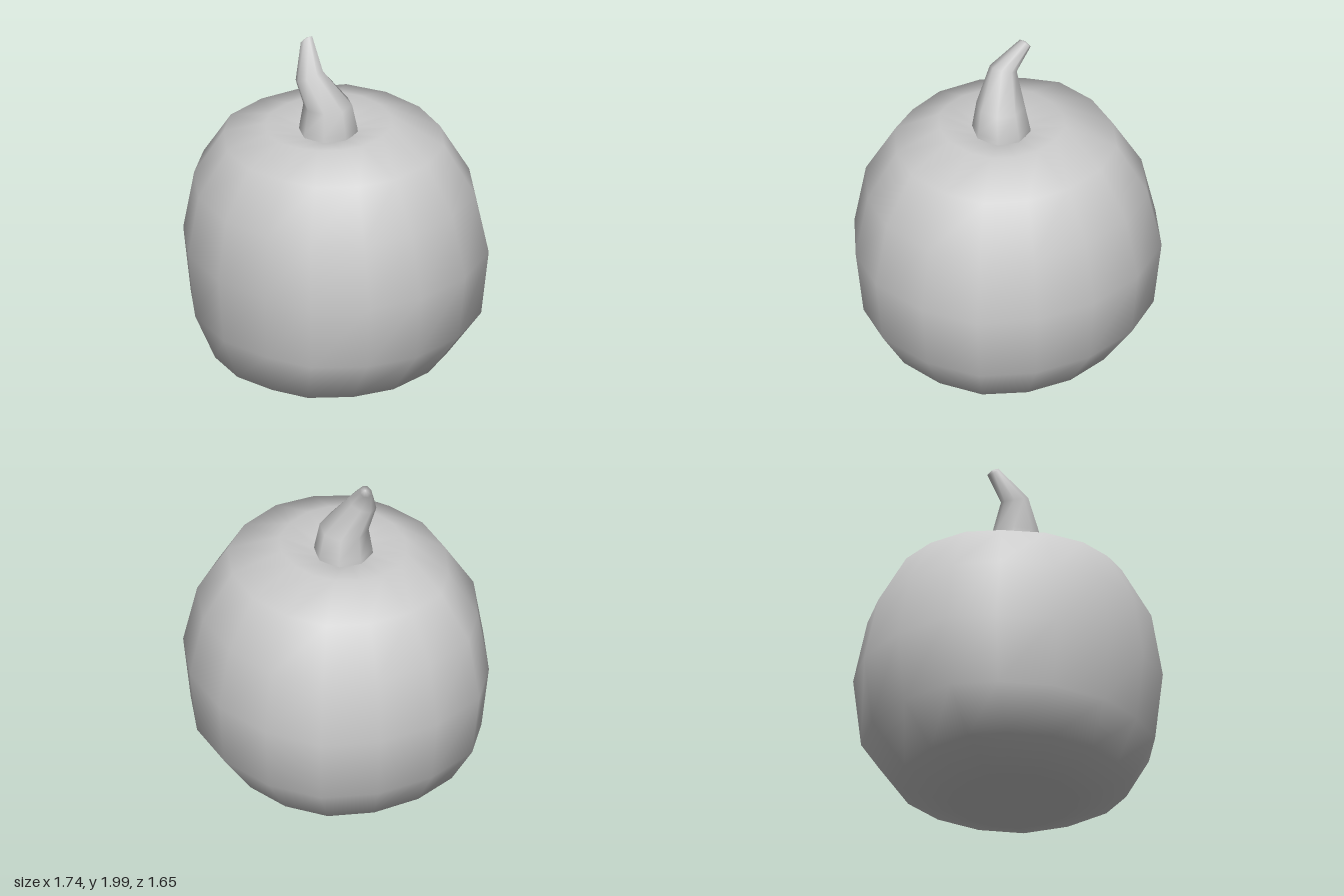
import * as THREE from 'three';

const material = new THREE.MeshStandardMaterial({ color: 0xcccccc });

// Smooth skin over closed rings of points, listed from bottom to top
function loft(name, rings) {
  const n = rings[0].length;
  const index = [];
  for (let r = 0; r < rings.length - 1; r++) {
    for (let i = 0; i < n; i++) {
      const a = r * n + i, b = r * n + (i + 1) % n;
      index.push(a, a + n, b, b, a + n, b + n);
    }
  }
  const geometry = new THREE.BufferGeometry();
  geometry.setAttribute('position', new THREE.Float32BufferAttribute(rings.flat(2), 3));
  geometry.setIndex(index);
  geometry.computeVertexNormals();
  const mesh = new THREE.Mesh(geometry, material);
  mesh.name = name;
  return mesh;
}

function createBody() {
  // Slightly uneven 16-sided girth as x, z, from the back round by the left
  const girth = [
    [0, -0.83], [0.35, -0.77], [0.64, -0.6], [0.81, -0.31],
    [0.87, 0.04], [0.79, 0.34], [0.6, 0.61], [0.34, 0.74],
    [0.02, 0.82], [-0.33, 0.77], [-0.62, 0.59], [-0.81, 0.38],
    [-0.87, 0.04], [-0.81, -0.31], [-0.64, -0.6], [-0.35, -0.77],
  ];
  // y, x scale, z scale, z offset, dip of the front right rim
  const levels = [
    [0.02, 0, 0, 0.04, 0],
    [0.005, 0.4, 0.43, 0.04, 0],
    [0.12, 0.75, 0.785, 0.04, 0],
    [0.38, 0.945, 0.955, 0, 0],
    [0.77, 1, 1, 0, 0],
    [1.13, 0.91, 0.925, 0.01, 0],
    [1.42, 0.72, 0.725, 0.01, 0.02],
    [1.525, 0.405, 0.425, 0.04, 0.035],
    [1.47, 0.17, 0.18, 0.04, 0],
    [1.45, 0, 0, 0.04, 0],
  ];
  return loft('body', levels.map(([y, sx, sz, dz, dip]) =>
    girth.map(([x, z]) => {
      const lean = Math.max(0, (z - x) / 1.2);
      return [x * sx, y - dip * Math.min(1, lean), z * sz + dz];
    })));
}

function createStem() {
  // centre x, y, z, radius in x, radius in z, rise per x, rise per z
  const sections = [
    [0, 1.44, 0.04, 0.17, 0.17, 0, 0],
    [0, 1.5, 0.04, 0.16, 0.165, 0, 0],
    [0, 1.635, 0.045, 0.138, 0.138, 0.05, 0],
    [-0.072, 1.81, 0.12, 0.073, 0.08, 0.41, -0.19],
    [-0.18, 1.972, 0.06, 0.025, 0.038, 1.05, -0.1],
    [-0.184, 1.982, 0.06, 0, 0, 0, 0],
  ];
  return loft('stem', sections.map(([cx, cy, cz, rx, rz, ax, az]) =>
    Array.from({ length: 8 }, (_, i) => {
      const t = i * Math.PI / 4;
      const x = rx * Math.sin(t), z = -rz * Math.cos(t);
      return [cx + x, cy + ax * x + az * z, cz + z];
    })));
}

export function createModel() {
  const group = new THREE.Group();
  group.name = 'pumpkin';
  group.add(createBody(), createStem());
  return group;
}
